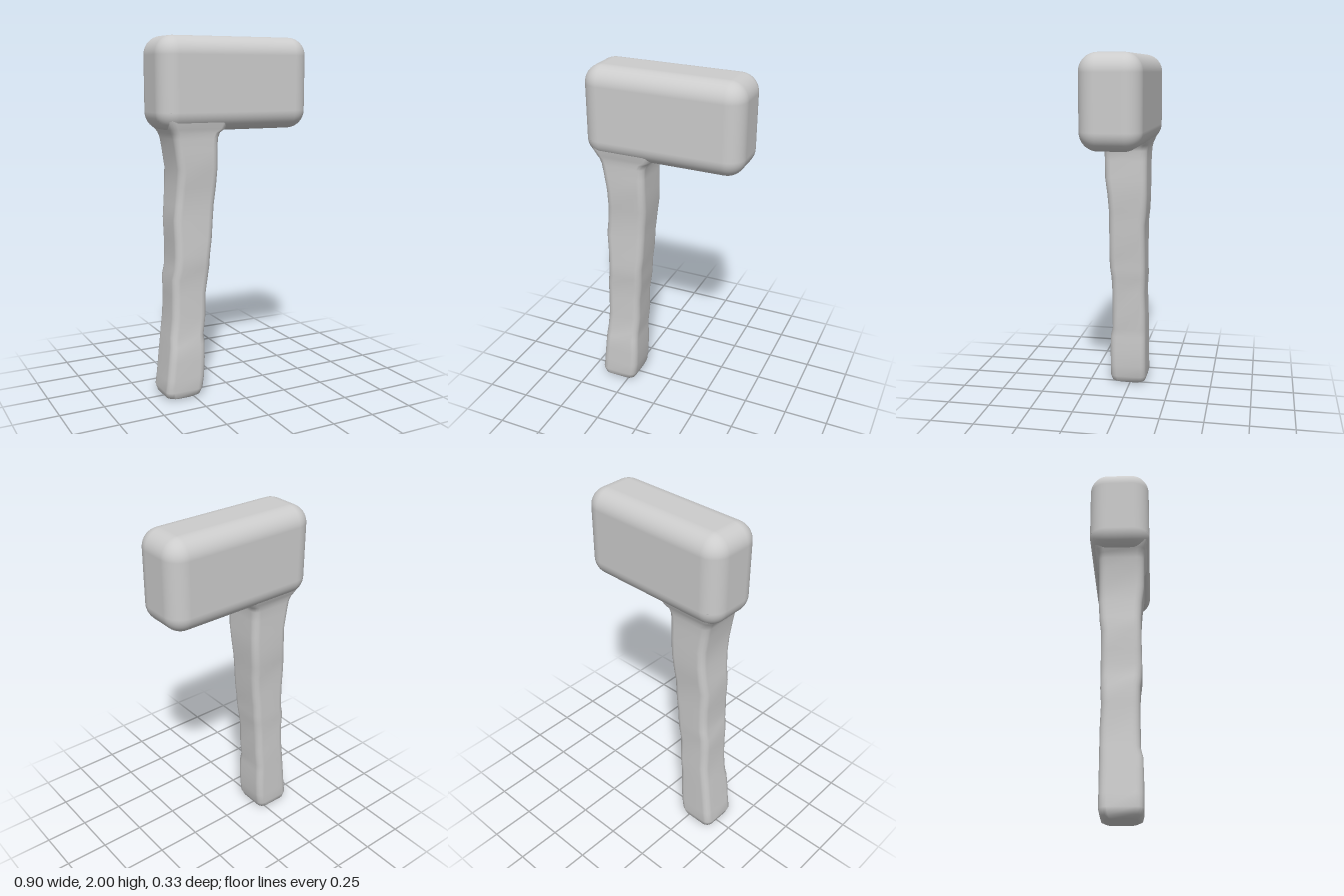
import * as THREE from 'three';
import { RoundedBoxGeometry } from 'three/addons/geometries/RoundedBoxGeometry.js';

// Handle cross-sections: [y, xMin, xMax, zMin, zMax]
const SECTIONS = [
  [0, -0.385, -0.235, -0.07, 0.09],
  [0.015, -0.41, -0.21, -0.092, 0.112],
  [0.05, -0.42, -0.195, -0.1, 0.12],
  [0.12, -0.41, -0.185, -0.1, 0.12],
  [0.22, -0.4, -0.18, -0.1, 0.12],
  [0.31, -0.39, -0.18, -0.1, 0.118],
  [0.36, -0.385, -0.18, -0.1, 0.106],
  [0.47, -0.372, -0.167, -0.1, 0.105],
  [0.6, -0.37, -0.165, -0.095, 0.105],
  [0.69, -0.37, -0.152, -0.1, 0.107],
  [0.75, -0.357, -0.147, -0.1, 0.115],
  [0.82, -0.355, -0.143, -0.1, 0.118],
  [0.9, -0.355, -0.132, -0.1, 0.116],
  [1.02, -0.36, -0.124, -0.1, 0.115],
  [1.1, -0.35, -0.118, -0.11, 0.115],
  [1.2, -0.342, -0.107, -0.115, 0.121],
  [1.3, -0.34, -0.104, -0.115, 0.134],
  [1.4, -0.355, -0.105, -0.115, 0.135],
  [1.46, -0.365, -0.102, -0.117, 0.136],
  [1.49, -0.376, -0.09, -0.122, 0.138],
  [1.51, -0.39, -0.06, -0.13, 0.142],
  [1.55, -0.41, -0.05, -0.147, 0.152],
  [1.6, -0.42, -0.05, -0.16, 0.16],
];

// Skin a stack of rounded rectangles, closed at the bottom
function loftHandle(sections, radius, steps) {
  const pos = [], index = [];
  const n = 4 * (steps + 1);
  for (const [y, x0, x1, z0, z1] of sections) {
    for (let c = 0; c < 4; c++) {
      const cx = c === 0 || c === 3 ? x1 - radius : x0 + radius;
      const cz = c < 2 ? z1 - radius : z0 + radius;
      for (let s = 0; s <= steps; s++) {
        const a = (c + s / steps) * Math.PI / 2;
        pos.push(cx + radius * Math.cos(a), y, cz + radius * Math.sin(a));
      }
    }
  }
  for (let r = 0; r < sections.length - 1; r++) {
    for (let i = 0; i < n; i++) {
      const a = r * n + i, b = r * n + (i + 1) % n;
      index.push(a, a + n, b, b, a + n, b + n);
    }
  }
  const [y, x0, x1, z0, z1] = sections[0];
  const centre = pos.length / 3;
  pos.push((x0 + x1) / 2, y, (z0 + z1) / 2);
  for (let i = 0; i < n; i++) index.push(centre, i, (i + 1) % n);

  const geo = new THREE.BufferGeometry();
  geo.setAttribute('position', new THREE.Float32BufferAttribute(pos, 3));
  geo.setIndex(index);
  geo.computeVertexNormals();
  return geo;
}

export function createModel() {
  const group = new THREE.Group();
  group.name = 'mallet';
  const grey = new THREE.MeshStandardMaterial({ color: 0xcccccc });
  grey.name = 'light grey';

  // Soft-edged block head
  const head = new THREE.Mesh(new RoundedBoxGeometry(0.9, 0.5, 0.334, 6, 0.1), grey);
  head.name = 'head';
  head.position.y = 1.75;

  // Hand-carved handle flaring into the head
  const handle = new THREE.Mesh(loftHandle(SECTIONS, 0.04, 4), grey);
  handle.name = 'handle';

  group.add(head, handle);
  return group;
}
